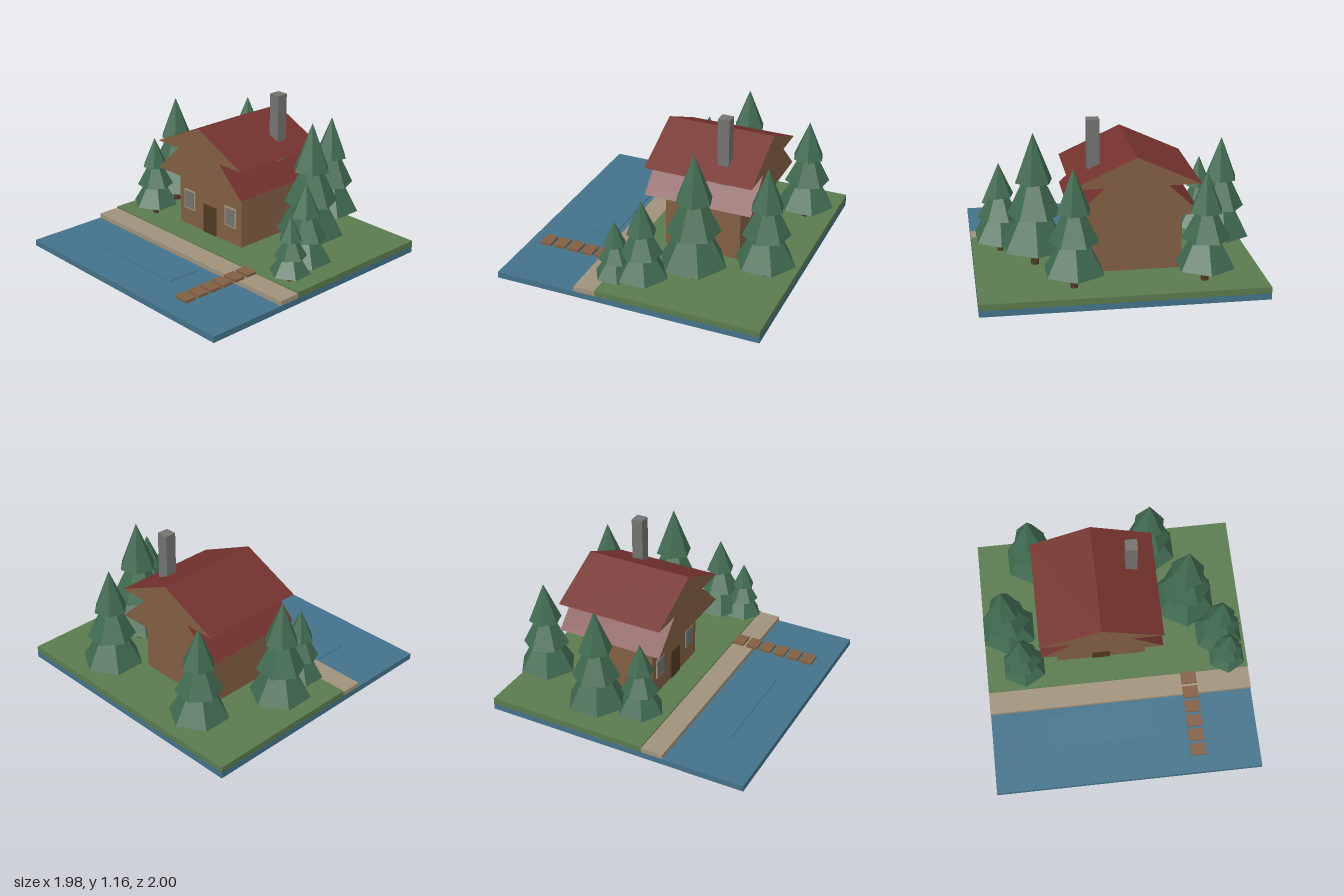
import * as THREE from 'three';

function mat(name, color, extra = {}) {
  const m = new THREE.MeshStandardMaterial({ color, ...extra });
  m.name = name;
  return m;
}

export function createModel() {
  const M = {
    water: mat('water blue', 0x43738b, { side: THREE.DoubleSide }),
    grass: mat('grass green', 0x5a7b4e),
    sand: mat('sand', 0xa0937b),
    wood: mat('wood brown', 0x825f43),
    dark: mat('dark wood', 0x513a22),
    roof: mat('roof red', 0x74322d),
    stone: mat('stone grey', 0x737370),
    leaf: mat('pine green', 0x406a50, { flatShading: true }),
  };
  const root = new THREE.Group();
  root.name = 'lakesideCabin';

  const add = (name, geo, material, parent = root) => {
    const m = new THREE.Mesh(geo, material);
    m.name = name;
    parent.add(m);
    return m;
  };
  // Box given by its limits on each axis
  const box = (name, material, [x0, x1], [y0, y1], [z0, z1], parent = root) => {
    const m = add(name, new THREE.BoxGeometry(x1 - x0, y1 - y0, z1 - z0), material, parent);
    m.position.set((x0 + x1) / 2, (y0 + y1) / 2, (z0 + z1) / 2);
    return m;
  };

  // Ground: the water slab is a shell open underneath
  const water = box('water', M.water, [-0.99, 0.99], [0, 0.045], [-0.98, 1]);
  const idx = Array.from(water.geometry.index.array);
  idx.splice(18, 6); // remove the bottom face
  water.geometry.setIndex(idx);
  water.geometry.clearGroups();
  box('grass', M.grass, [-0.99, 0.99], [0.045, 0.09], [-0.98, 0.23]);
  box('beach', M.sand, [-0.99, 0.99], [0.045, 0.08], [0.23, 0.395]);
  box('waterPatch', M.water, [-0.56, 0.22], [0.045, 0.051], [0.46, 0.71]);

  // Dock planks
  const dock = new THREE.Group();
  dock.name = 'dock';
  root.add(dock);
  for (let i = 0; i < 6; i++) {
    const z = 0.275 + i * 0.112;
    box('plank', M.wood, [0.47, 0.585], [0.08, 0.1], [z - 0.044, z + 0.044], dock);
  }

  // Cabin
  const cabin = new THREE.Group();
  cabin.name = 'cabin';
  root.add(cabin);
  const front = 0.03;
  box('walls', M.wood, [-0.45, 0.222], [0.09, 0.53], [-0.545, front], cabin);
  box('door', M.dark, [-0.18, -0.045], [0.09, 0.315], [front, front + 0.008], cabin);
  for (const x of [-0.339, 0.109]) {
    box('windowFrame', M.sand, [x - 0.059, x + 0.059], [0.22, 0.375], [front, front + 0.006], cabin);
    box('windowPane', M.stone, [x - 0.048, x + 0.048], [0.232, 0.363], [front + 0.004, front + 0.01], cabin);
  }

  // Two-tier roof: wooden gable ends, red slopes and undersides
  const cx = -0.113;
  const half = [[0.447, 0.527], [0.219, 0.743], [0.447, 0.743]];
  const outline = [
    ...half.map(([x, y]) => [cx + x, y]),
    [cx, 0.95],
    ...half.slice().reverse().map(([x, y]) => [cx - x, y]),
  ];
  const shape = new THREE.Shape(outline.map(([x, y]) => new THREE.Vector2(x, y)));
  const roofGeo = new THREE.ExtrudeGeometry(shape, { depth: 0.805, bevelEnabled: false });
  add('roof', roofGeo, [M.wood, M.roof], cabin).position.z = -0.66;
  box('chimney', M.stone, [0.112, 0.197], [0.6, 1.16], [-0.438, -0.353], cabin);

  // Pines: x, z, height, radius
  const pines = [
    [0.56, -0.33, 0.965, 0.245],
    [0.787, -0.04, 0.665, 0.193],
    [0.828, 0.145, 0.485, 0.147],
    [-0.793, -0.225, 0.845, 0.218],
    [-0.7, 0.07, 0.615, 0.173],
    [-0.565, -0.78, 0.785, 0.213],
    [0.335, -0.78, 0.845, 0.22],
  ];
  // Tier bottom, height and radius as fractions of the tree
  const tiers = [[0.14, 0.48, 1], [0.39, 0.42, 0.78], [0.64, 0.36, 0.56]];
  for (const [x, z, h, r] of pines) {
    const tree = new THREE.Group();
    tree.name = 'pineTree';
    tree.position.set(x, 0.09, z);
    root.add(tree);
    const trunk = new THREE.CylinderGeometry(r * 0.11, r * 0.13, h * 0.2, 6);
    add('trunk', trunk, M.dark, tree).position.y = h * 0.1;
    tiers.forEach(([y, th, tr], i) => {
      const cone = add('foliage', new THREE.ConeGeometry(r * tr, h * th, 6), M.leaf, tree);
      cone.position.y = h * (y + th / 2);
      cone.rotation.y = i * 0.4;
    });
  }
  return root;
}
